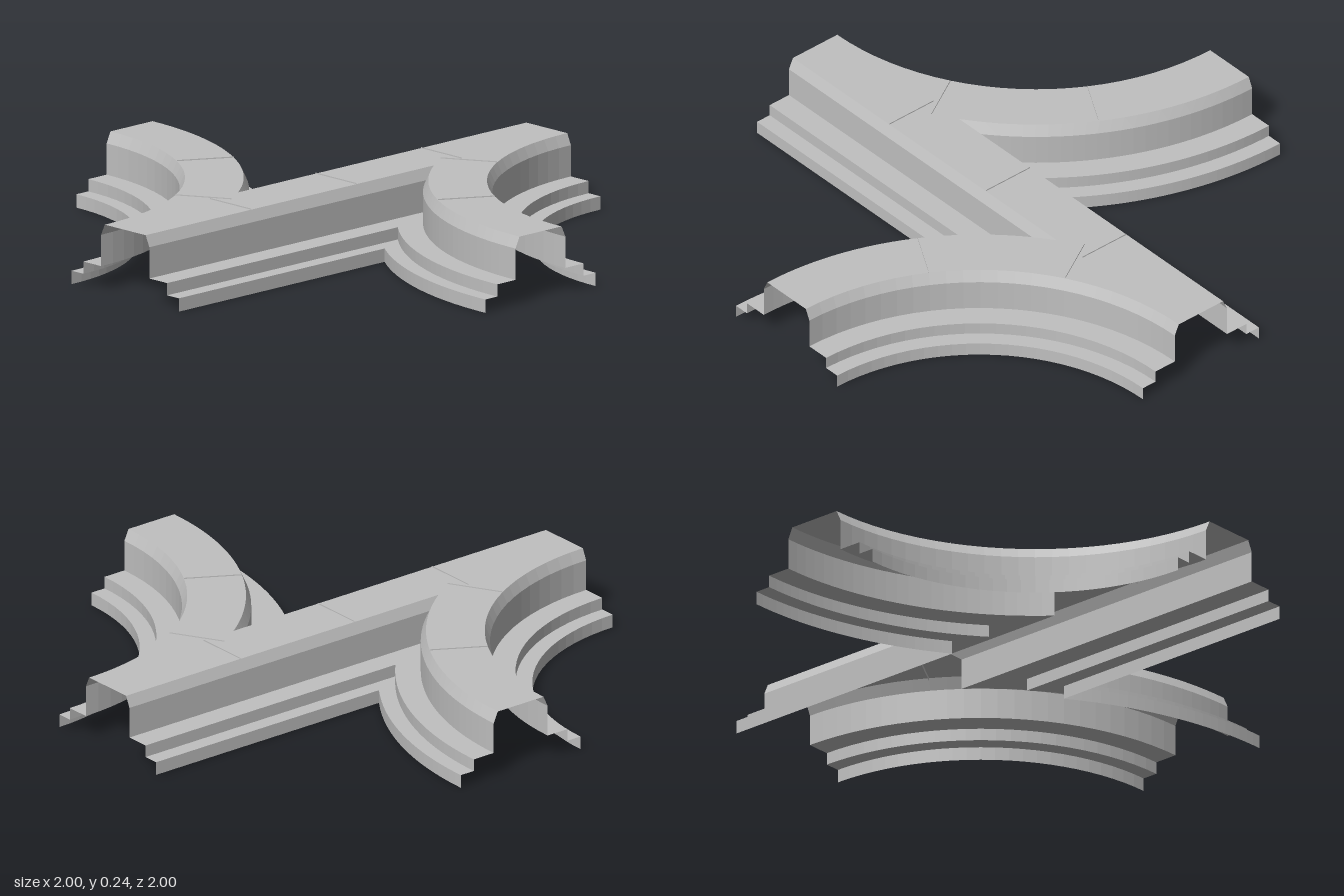
import * as THREE from 'three';

// Side profile: distance from the track centre line, height
const DECK = 0.239;
const PROFILE = [[0.1, DECK], [0.118, 0.2], [0.118, 0.09], [0.205, 0.09], [0.205, 0.047], [0.262, 0.047], [0.262, 0]];
const STRIPS = ['chamfer', 'wall', 'upperLedge', 'upperRiser', 'lowerLedge', 'footRiser'];
const SEGMENTS = 24;

// Arc about (1, -1), returned as [x, z] points
function arc(radius, from, to) {
  return Array.from({ length: SEGMENTS + 1 }, (_, i) => {
    const a = from + (to - from) * i / SEGMENTS;
    return [1 - radius * Math.cos(a), -1 + radius * Math.sin(a)];
  });
}

// Straight side running into the outside of the curve, mitred where they meet
const outerPath = (o) => [[o, 1], ...arc(1 + o, Math.acos((1 - o) / (1 + o)), Math.PI / 2)];

// Inside of the curve
const innerPath = (o) => arc(1 - o, Math.PI / 2, 0);

// Open strip between two equally long paths
function stripGeometry(top, topY, low, lowY) {
  const pos = [], index = [];
  top.forEach(([x, z], i) => {
    pos.push(x, topY, z, low[i][0], lowY, low[i][1]);
    if (i < top.length - 1) {
      const a = 2 * i;
      index.push(a, a + 1, a + 2, a + 2, a + 1, a + 3);
    }
  });
  const g = new THREE.BufferGeometry();
  g.setAttribute('position', new THREE.Float32BufferAttribute(pos, 3));
  g.setIndex(index);
  g.computeVertexNormals();
  return g;
}

export function createModel() {
  const model = new THREE.Group();
  model.name = 'trackJunction';
  const grey = new THREE.MeshStandardMaterial({ color: 0xc0c0c0, side: THREE.DoubleSide, flatShading: true });
  grey.name = 'grey';

  const add = (parent, name, geometry) => {
    const mesh = new THREE.Mesh(geometry, grey);
    mesh.name = name;
    parent.add(mesh);
    return mesh;
  };

  // Flat top covering the straight and both curves
  const half = [...outerPath(0.1), ...innerPath(0.1)];
  const outline = [...half, ...half.map(([x, z]) => [-x, -z])];
  const shape = new THREE.Shape(outline.map(([x, z]) => new THREE.Vector2(x, -z)));
  add(model, 'deck', new THREE.ShapeGeometry(shape).rotateX(-Math.PI / 2)).position.y = DECK;

  // Thin cross joint just breaking the deck surface
  const joint = (parent, x, z, angle) => {
    const m = add(parent, 'joint', new THREE.PlaneGeometry(0.2, 0.016));
    m.position.set(x, DECK - 0.004, z);
    m.rotation.y = angle;
  };
  joint(model, 0, 0, 0);

  // The two halves are the same, turned half a turn
  for (const turn of [0, Math.PI]) {
    const side = new THREE.Group();
    side.name = turn ? 'rightBranch' : 'leftBranch';
    side.rotation.y = turn;
    for (const [prefix, path] of [['outer', outerPath], ['inner', innerPath]]) {
      STRIPS.forEach((name, k) => {
        const [o1, y1] = PROFILE[k], [o2, y2] = PROFILE[k + 1];
        add(side, `${prefix} ${name}`, stripGeometry(path(o1), y1, path(o2), y2));
      });
    }
    joint(side, 0, -0.5, 0);
    for (const a of [Math.PI / 6, Math.PI / 3]) joint(side, 1 - Math.cos(a), -1 + Math.sin(a), a);
    model.add(side);
  }
  return model;
}
